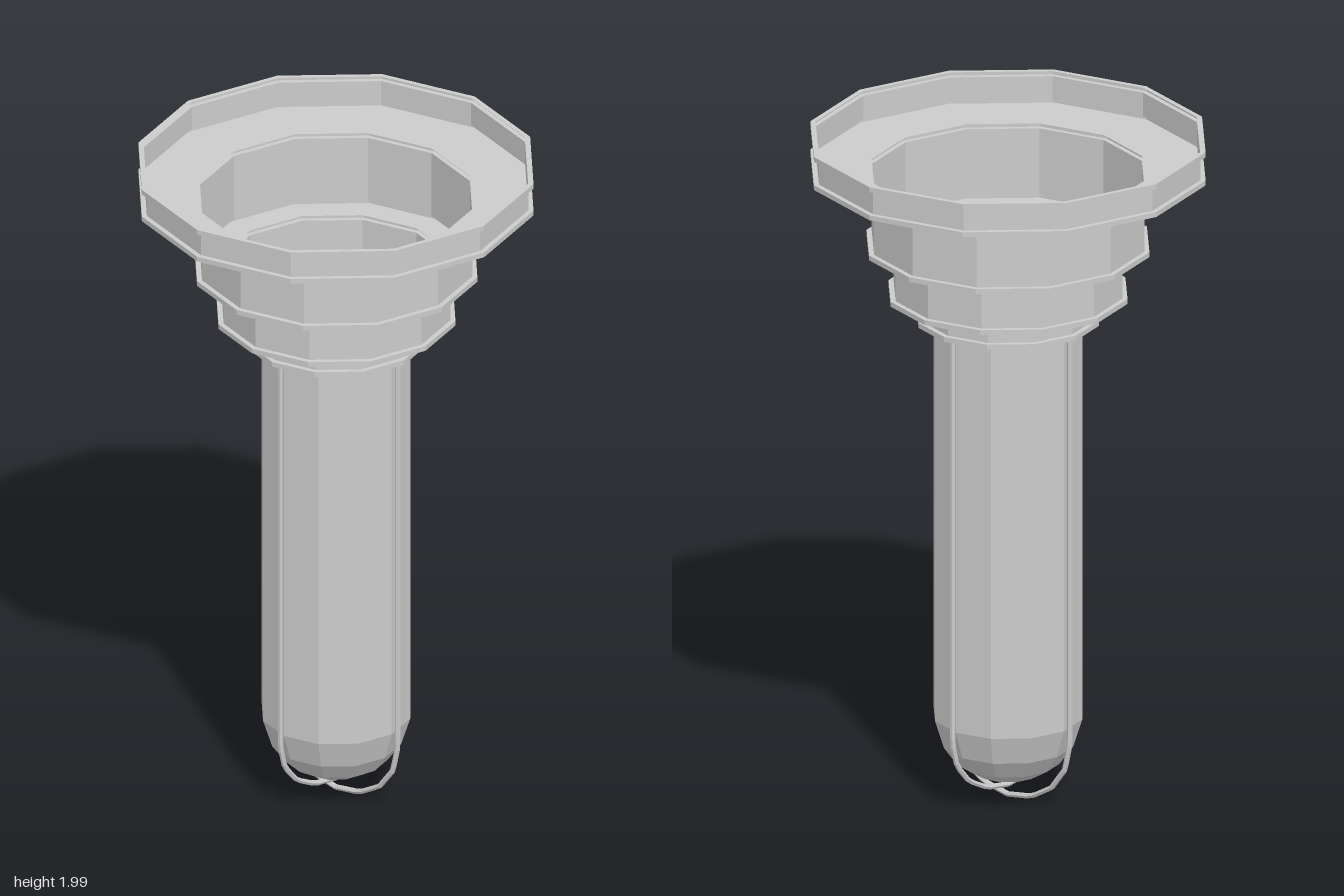
import * as THREE from 'three';

const SIDES = 12;
const material = new THREE.MeshStandardMaterial({
  color: 0xcccccc, flatShading: true, side: THREE.DoubleSide,
});

// Twelve-sided open shell; the profile runs from bottom to top
function shell(name, profile) {
  const points = profile.map(([r, y]) => new THREE.Vector2(r, y));
  const mesh = new THREE.Mesh(new THREE.LatheGeometry(points, SIDES), material);
  mesh.name = name;
  return mesh;
}

// Open collar step: floor, lower lip, wall and upper lip
function collarTier(name, wall, innerFloor, bottom, top) {
  const lip = 0.015;
  const rim = wall + lip;
  return shell(name, [
    [innerFloor, bottom], [rim, bottom], [rim, bottom + lip], [wall, bottom + lip],
    [wall, top - lip], [rim, top - lip], [rim, top], [wall, top],
  ]);
}

// U-shaped guard wire: two straight legs joined by a faceted half ellipse
function guardWire(name, halfWidth, bottom, turn) {
  const topY = 1.455, bendY = 0.22, steps = 8;
  const points = [new THREE.Vector3(halfWidth, topY, 0)];
  for (let i = 0; i <= steps; i++) {
    const a = (i / steps) * Math.PI;
    points.push(new THREE.Vector3(
      halfWidth * Math.cos(a), bendY - (bendY - bottom) * Math.sin(a), 0));
  }
  points.push(new THREE.Vector3(-halfWidth, topY, 0));

  const path = new THREE.CurvePath();
  for (let i = 1; i < points.length; i++) {
    path.add(new THREE.LineCurve3(points[i - 1], points[i]));
  }
  const mesh = new THREE.Mesh(new THREE.TubeGeometry(path, 120, 0.008, 6), material);
  mesh.rotation.y = turn;
  mesh.name = name;
  return mesh;
}

export function createModel() {
  const model = new THREE.Group();
  model.name = 'steppedTubeLamp';

  // Stepped collar: wall radius, floor's inner radius, bottom, top
  const tiers = [
    [0.562, 0.413, 1.9, 2.0],
    [0.398, 0.349, 1.67, 1.9],
    [0.334, 0.266, 1.523, 1.67],
    [0.251, 0.217, 1.45, 1.523],
  ];
  tiers.forEach((t, i) => model.add(collarTier(`collarTier${i + 1}`, ...t)));

  // Long tube with a rounded closed end
  model.add(shell('tube', [
    [0, 0.065], [0.092, 0.08], [0.15, 0.115], [0.19, 0.17], [0.217, 0.255], [0.217, 1.45],
  ]));

  // Crossed wire guards, one passing beneath the other
  model.add(guardWire('outerGuardWire', 0.24, 0.012, 0));
  model.add(guardWire('innerGuardWire', 0.23, 0.042, Math.PI / 2));

  return model;
}
